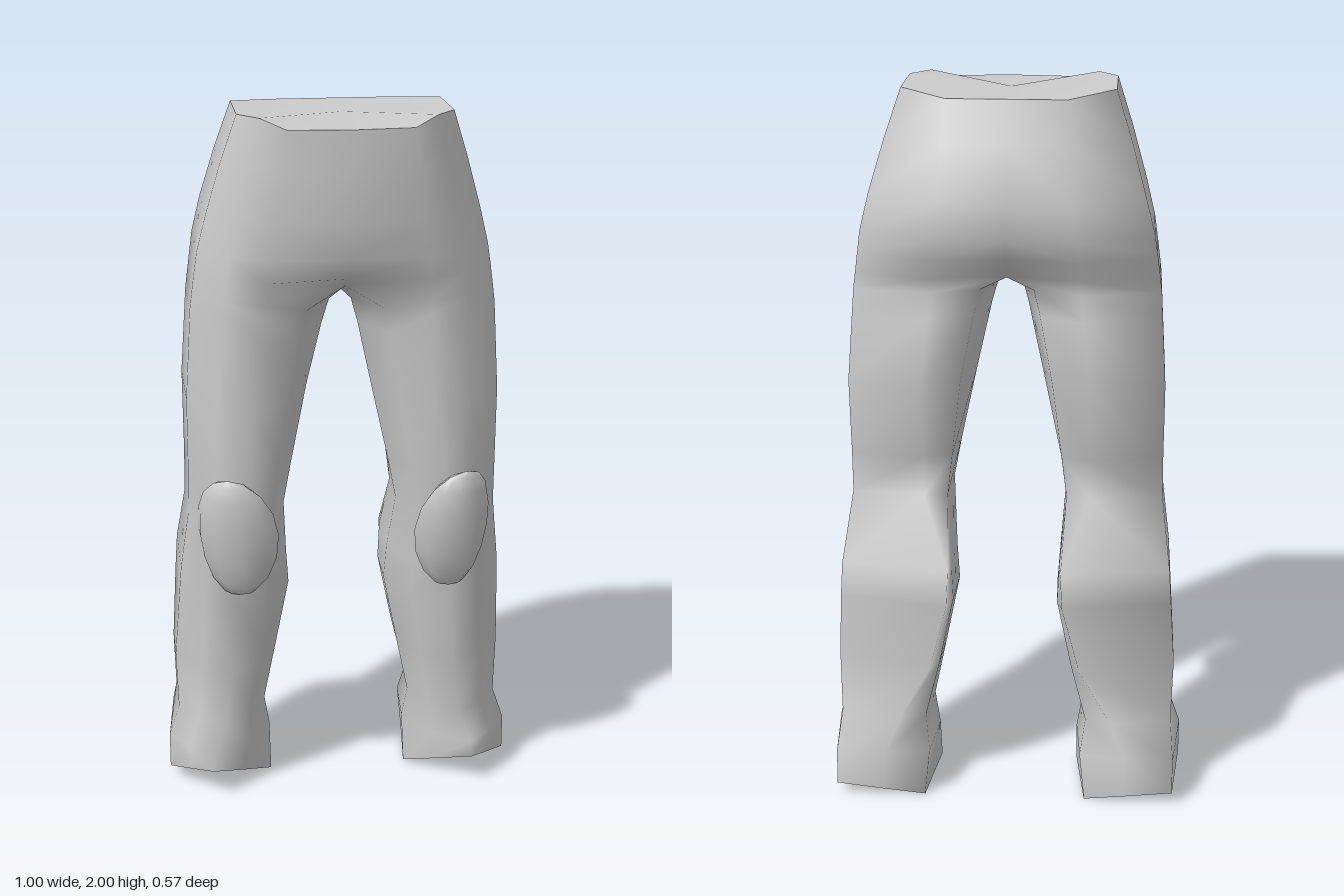
import * as THREE from 'three';
import { mergeVertices } from 'three/addons/utils/BufferGeometryUtils.js';

// Pelvis half-rings, top to crotch:
// y, inner x, outer x, back z, front z, front x, back x, outer front z, outer back z,
// squareness of inner back, centre front z, centre back z
const PELVIS = [
  [2.0, 0, 0.285, -0.165, 0.27, 0.165, 0.16, 0.148, -0.07, 0, 0.285, -0.165],
  [1.87, 0, 0.328, -0.205, 0.262, 0.18, 0.17, 0.125, -0.112, 0, 0.283, -0.205],
  [1.73, 0, 0.368, -0.255, 0.25, 0.2, 0.18, 0.11, -0.154, 0, 0.275, -0.255],
  [1.63, 0, 0.393, -0.245, 0.24, 0.21, 0.19, 0.1, -0.15, 0, 0.245, -0.24],
  [1.57, 0, 0.402, -0.228, 0.235, 0.22, 0.2, 0.1, -0.137, 0, 0.205, -0.21],
  [1.51, 0, 0.41, -0.185, 0.23, 0.22, 0.2, 0.1, -0.135, 0, 0.14, -0.155],
];
// Leg rings, thigh to ankle: same first ten values
const LEG = [
  [1.47, 0.03, 0.415, -0.187, 0.227, 0.22, 0.2, 0.1, -0.138, 0.5],
  [1.4, 0.05, 0.419, -0.2, 0.222, 0.22, 0.21, 0.1, -0.15, 0.5],
  [1.22, 0.09, 0.43, -0.23, 0.21, 0.24, 0.23, 0.095, -0.175, 0.5],
  [1.0, 0.137, 0.43, -0.175, 0.2, 0.27, 0.23, 0.085, -0.145, 0.7],
  [0.88, 0.16, 0.432, -0.15, 0.185, 0.28, 0.23, 0.07, -0.127, 0.85],
  [0.7, 0.147, 0.455, -0.28, 0.16, 0.3, 0.155, 0.03, -0.222, 0.5],
  [0.6, 0.14, 0.462, -0.278, 0.14, 0.3, 0.16, 0.01, -0.218, 0.5],
  [0.4, 0.18, 0.475, -0.262, 0.12, 0.32, 0.21, -0.04, -0.18, 0.6],
  [0.23, 0.215, 0.47, -0.24, 0.1, 0.34, 0.3, -0.04, -0.2, 0.7],
  [0.14, 0.2, 0.5, -0.28, 0.12, 0.375, 0.34, -0.03, -0.28, 0.8],
];
// Slanted outline of the sole
const SOLE = [
  [0.29, 0.05, 0.042], [0.38, 0.09, 0.118], [0.44, 0.065, 0.045], [0.5, 0.04, -0.03],
  [0.478, 0.04, -0.285], [0.35, 0.02, -0.275], [0.228, 0.002, -0.265], [0.2, 0.01, -0.037],
];

// Eight points round one leg: inner front, front, mid front, outer front, outer back, back, inner back, inner
function ring([y, xi, xo, zb, zf, fx, bx, oz, bz, ki, cf, cb]) {
  const iz = (zb + zf) / 2;
  // Point between two neighbouring extremes, pulled towards the box corner (cx, cz)
  const corner = (x, z, cx, cz, k) => [
    THREE.MathUtils.lerp((x + cx) / 2, cx, k), y, THREE.MathUtils.lerp((z + cz) / 2, cz, k)];
  const pts = [
    corner(fx, iz, xi, zf, 0.2), [fx, y, zf], corner(fx, oz, xo, zf, 0.12), [xo, y, oz],
    [xo, y, bz], [bx, y, zb], corner(bx, iz, xi, zb, ki), [xi, y, iz]];
  if (cf !== undefined) {
    pts[0] = [0, y, cf];
    pts[6] = [0, y, cb];
    pts[7] = [0, y, (cf + cb) / 2];
  }
  return pts;
}

// Triangle list from both halves, welded and smoothed
function surface(tris) {
  const pos = [];
  for (const t of tris) {
    for (const p of t) pos.push(...p);
    for (const p of [t[0], t[2], t[1]]) pos.push(-p[0], p[1], p[2]);
  }
  const geo = new THREE.BufferGeometry();
  geo.setAttribute('position', new THREE.Float32BufferAttribute(pos, 3));
  const welded = mergeVertices(geo, 1e-4);
  welded.computeVertexNormals();
  return welded;
}

export function createModel() {
  const group = new THREE.Group();
  const grey = new THREE.MeshStandardMaterial({ color: 0xcccccc });
  grey.name = 'grey cloth';
  const add = (name, geo) => {
    const mesh = new THREE.Mesh(geo, grey);
    mesh.name = name;
    group.add(mesh);
  };

  // Waist dips slightly at front and back; crotch rises at the front; heel tapers in
  const rings = [...PELVIS, ...LEG].map(ring);
  [0, 1].forEach((i) => { rings[0][i][1] = 1.977; });
  [5, 6].forEach((i) => { rings[0][i][1] = 1.987; });
  const crotch = rings[PELVIS.length - 1];
  crotch[0][1] = 1.535;
  crotch[7][1] = 1.495;
  rings[rings.length - 1][4][0] = 0.478;
  rings.push(SOLE);

  // Trouser body: the inner side is open between the halves of the pelvis
  const body = [];
  for (let r = 0; r < rings.length - 1; r++) {
    const sides = r < PELVIS.length - 1 ? 6 : 8;
    for (let i = 0; i < sides; i++) {
      const j = (i + 1) % 8;
      const a = rings[r][i], b = rings[r][j], c = rings[r + 1][i], d = rings[r + 1][j];
      body.push([a, c, b], [b, c, d]);
    }
  }
  add('trousers', surface(body));

  // Flat waist top
  const waist = [];
  for (let i = 0; i < 6; i++) waist.push([[0, 1.985, 0.05], rings[0][i], rings[0][i + 1]]);
  add('waistTop', surface(waist));

  // Soles
  const mid = [0.36, 0.04, -0.09];
  add('soles', surface(SOLE.map((p, i) => [mid, SOLE[(i + 1) % 8], p])));

  // Knee pads, curved round the shin, leaning with it and turned outwards
  for (const s of [1, -1]) {
    const geo = new THREE.SphereGeometry(1, 10, 8);
    geo.scale(0.118, 0.186, 0.05);
    const p = geo.attributes.position;
    for (let i = 0; i < p.count; i++) p.setZ(i, p.getZ(i) - 3 * p.getX(i) ** 2);
    geo.computeVertexNormals();
    geo.rotateX(0.2);
    geo.rotateY(s * 0.4);
    geo.translate(s * 0.314, 0.835, 0.172);
    add(s > 0 ? 'leftKneePad' : 'rightKneePad', geo);
  }
  return group;
}
